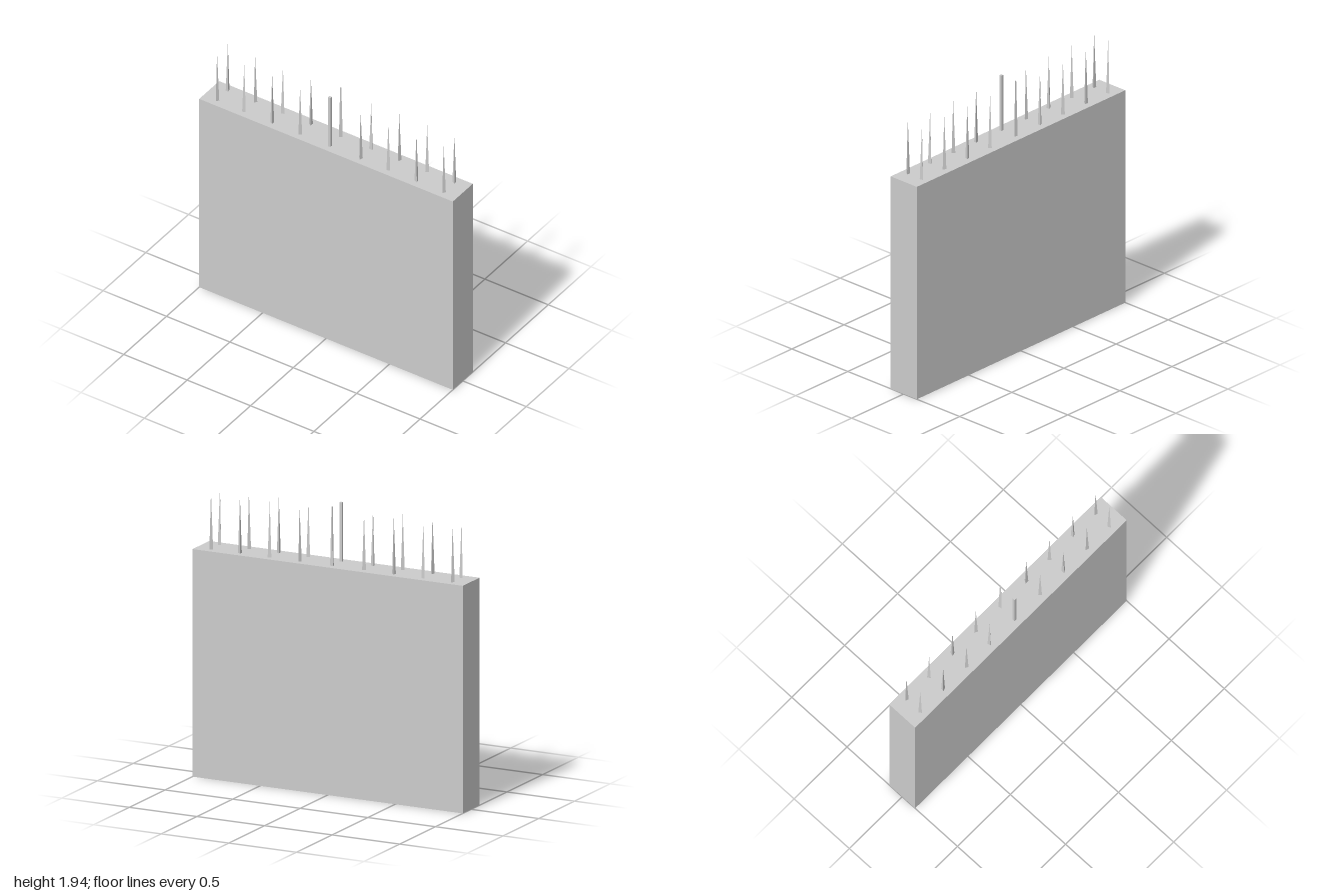
import * as THREE from 'three';

export function createModel() {
  const model = new THREE.Group();
  const material = new THREE.MeshStandardMaterial({ color: 0xcccccc, flatShading: true });
  const wallTop = 1.54;

  function add(name, geometry, x, y, z, turn = 0) {
    const mesh = new THREE.Mesh(geometry, material);
    mesh.name = name;
    mesh.position.set(x, y, z);
    mesh.rotation.y = turn;
    model.add(mesh);
  }

  // Solid wall slab
  add('wall', new THREE.BoxGeometry(2, wallTop, 0.234), 0, wallTop / 2, 0);

  // Two rows of slender three-sided spikes, each turned differently
  const spikeX = [-0.895, -0.68, -0.46, -0.24, -0.005, 0.237, 0.457, 0.678, 0.892];
  [0.064, -0.062].forEach((z, row) => {
    spikeX.forEach((x, i) => {
      const middle = i === 4;
      if (middle && row === 0) return;
      const height = middle ? 0.4 : 0.37 + 0.005 * Math.abs(i - 4) / 2;
      const tip = middle ? 0.005 : 0.0005;
      const spike = new THREE.CylinderGeometry(tip, 0.0145, height, 3);
      add('spike', spike, x, wallTop + height / 2, z, i * 1.3 + row * 0.8);
    });
  });

  // Straight square post in the middle of the front row
  add('post', new THREE.BoxGeometry(0.018, 0.4, 0.018), -0.005, wallTop + 0.2, 0.064);

  return model;
}
